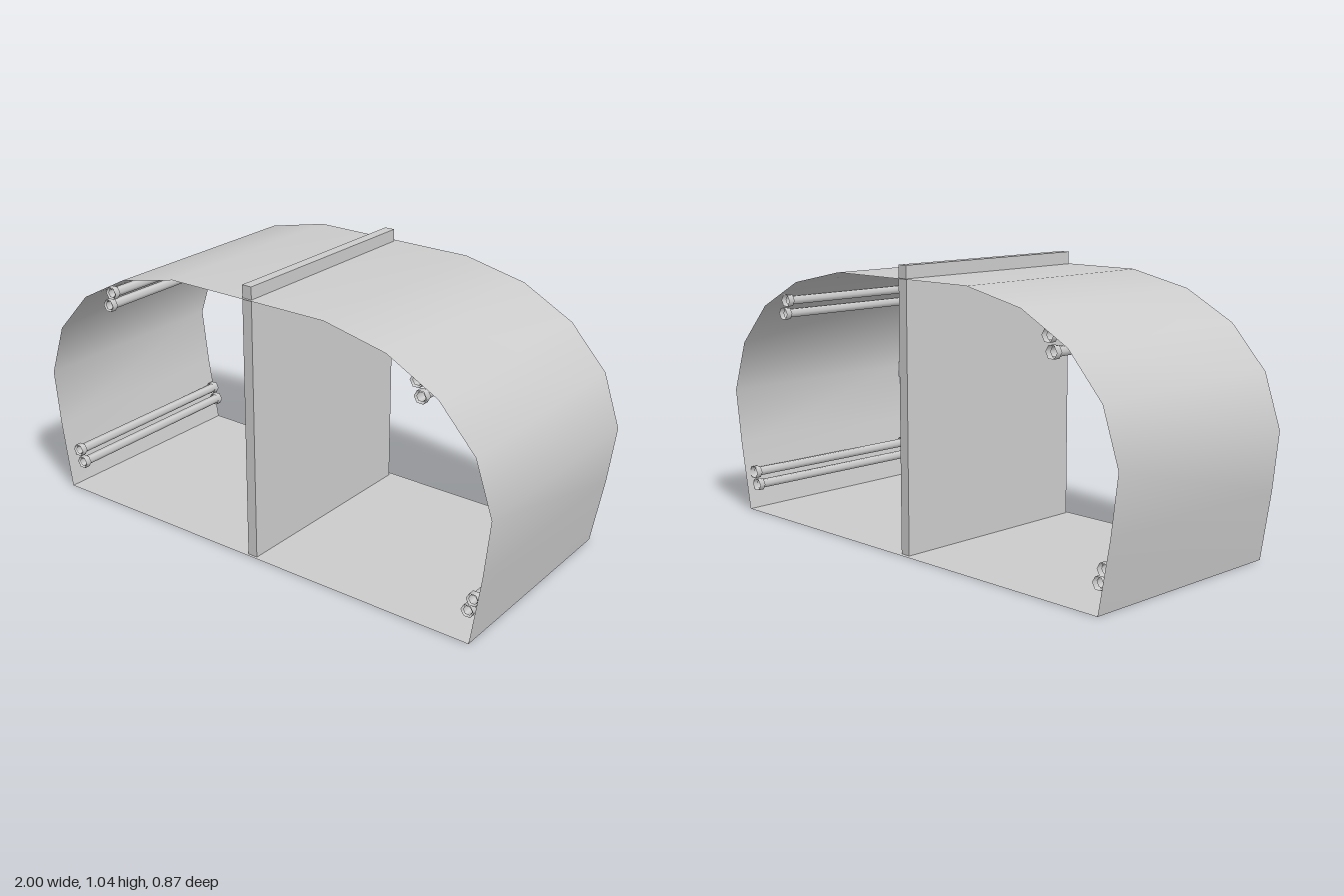
import * as THREE from 'three';

const DEPTH = 0.87;

export function createModel() {
  const model = new THREE.Group();
  const material = new THREE.MeshStandardMaterial({ color: 0xcccccc });
  const thin = new THREE.MeshStandardMaterial({ color: 0xcccccc, side: THREE.DoubleSide });

  const add = (parent, name, geometry, mat, x = 0, y = 0, z = 0) => {
    const mesh = new THREE.Mesh(geometry, mat);
    mesh.name = name;
    mesh.position.set(x, y, z);
    parent.add(mesh);
    return mesh;
  };

  // Curved shell: half profile mirrored, feet slightly narrower at the back
  const half = [[0.937, 0], [0.977, 0.26], [1, 0.48], [0.932, 0.68], [0.787, 0.838], [0.585, 0.945], [0.335, 0.998]];
  const profile = [...half, ...half.slice().reverse().map(([x, y]) => [-x, y])];
  const positions = [];
  const indices = [];
  profile.forEach(([x, y], i) => {
    const taper = Math.sign(x) * 0.013 * Math.max(0, 1 - y / 0.48);
    positions.push(x, y, DEPTH / 2, x - taper, y, -DEPTH / 2);
    if (i > 0) {
      const a = 2 * (i - 1);
      indices.push(a, a + 1, a + 2, a + 1, a + 3, a + 2);
    }
  });
  const shell = new THREE.BufferGeometry();
  shell.setAttribute('position', new THREE.Float32BufferAttribute(positions, 3));
  shell.setIndex(indices);
  shell.computeVertexNormals();
  add(model, 'shell', shell, thin);

  // Thin floor joining the feet of the shell
  const floor = new THREE.PlaneGeometry(1.874, DEPTH).rotateX(-Math.PI / 2);
  const p = floor.attributes.position;
  for (let i = 0; i < p.count; i++) {
    if (p.getZ(i) < 0) p.setX(i, Math.sign(p.getX(i)) * 0.924);
  }
  add(model, 'floor', floor, thin);

  // Central partition standing a little proud of the roof
  add(model, 'partition', new THREE.BoxGeometry(0.04, 1.045, 0.843), material, 0, 0.5225, 0.003);

  // Pairs of hollow six-sided rails with end collars, along both walls
  const hexTube = (radius, length) =>
    new THREE.CylinderGeometry(radius, radius, length, 6, 1, true).rotateY(Math.PI / 6).rotateX(Math.PI / 2);
  const railTube = hexTube(0.018, 0.8);
  const collar = hexTube(0.025, 0.025);
  const railSpots = [[0.682, 0.865], [0.699, 0.813], [0.925, 0.148], [0.907, 0.1]];
  for (const side of [-1, 1]) {
    for (const [x, y] of railSpots) {
      const rail = new THREE.Group();
      rail.name = side > 0 ? 'leftRail' : 'rightRail';
      rail.position.set(side * x, y, 0);
      add(rail, 'railTube', railTube, thin);
      for (const z of [-0.402, 0.392]) add(rail, 'railCollar', collar, thin, 0, 0, z);
      model.add(rail);
    }
  }
  return model;
}
